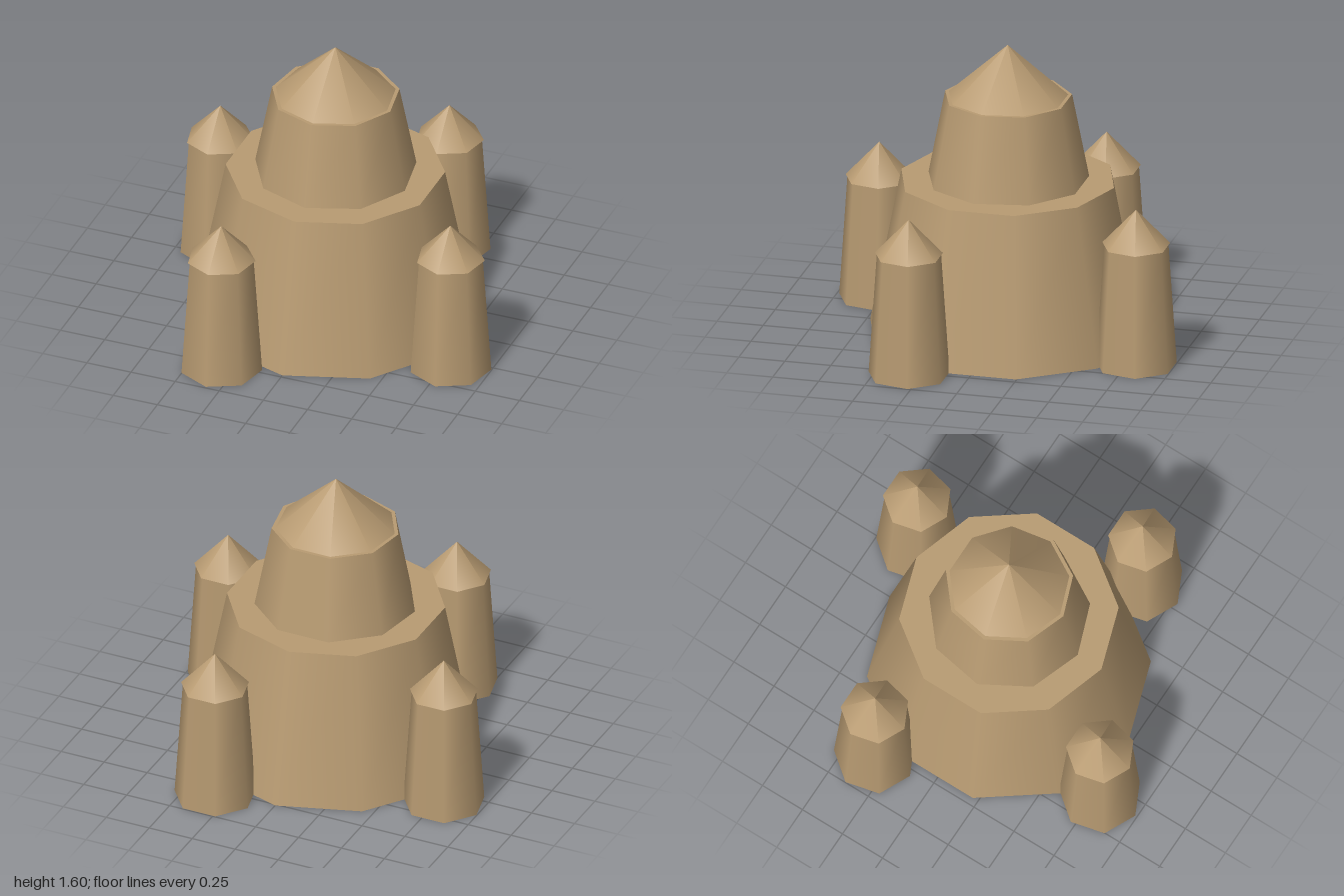
import * as THREE from 'three';

export function createModel() {
  const model = new THREE.Group();
  const clay = new THREE.MeshStandardMaterial({ color: 0xb89b72 });

  // Tapered, smooth-shaded prism standing on y0, with one corner facing +z
  function tier(parent, name, topR, bottomR, y0, y1, sides) {
    const geometry = topR > 0
      ? new THREE.CylinderGeometry(topR, bottomR, y1 - y0, sides)
      : new THREE.ConeGeometry(bottomR, y1 - y0, sides);
    const mesh = new THREE.Mesh(geometry, clay);
    mesh.name = name;
    mesh.position.y = (y0 + y1) / 2;
    parent.add(mesh);
  }

  // Central keep: broad base, narrower upper tier, pointed roof
  const keep = new THREE.Group();
  keep.name = 'keep';
  tier(keep, 'keepBase', 0.578, 0.747, 0, 0.853, 10);
  tier(keep, 'keepUpperTier', 0.34, 0.43, 0.853, 1.313, 9);
  tier(keep, 'keepRoof', 0, 0.32, 1.313, 1.6, 9);
  model.add(keep);

  // Four corner towers in a turned square, all facing the same way
  const a = 0.785, b = 0.331;
  const spots = [
    ['leftTower', a, b],
    ['rightTower', -a, -b],
    ['frontTower', -b, a],
    ['backTower', b, -a],
  ];
  for (const [name, x, z] of spots) {
    const tower = new THREE.Group();
    tower.name = name;
    tier(tower, 'towerWall', 0.173, 0.218, 0, 0.67, 7);
    tier(tower, 'towerRoof', 0, 0.183, 0.67, 0.868, 7);
    tower.position.set(x, 0, z);
    model.add(tower);
  }

  // Centre the overall footprint
  model.children.forEach((part) => { part.position.z -= 0.014; });
  return model;
}
